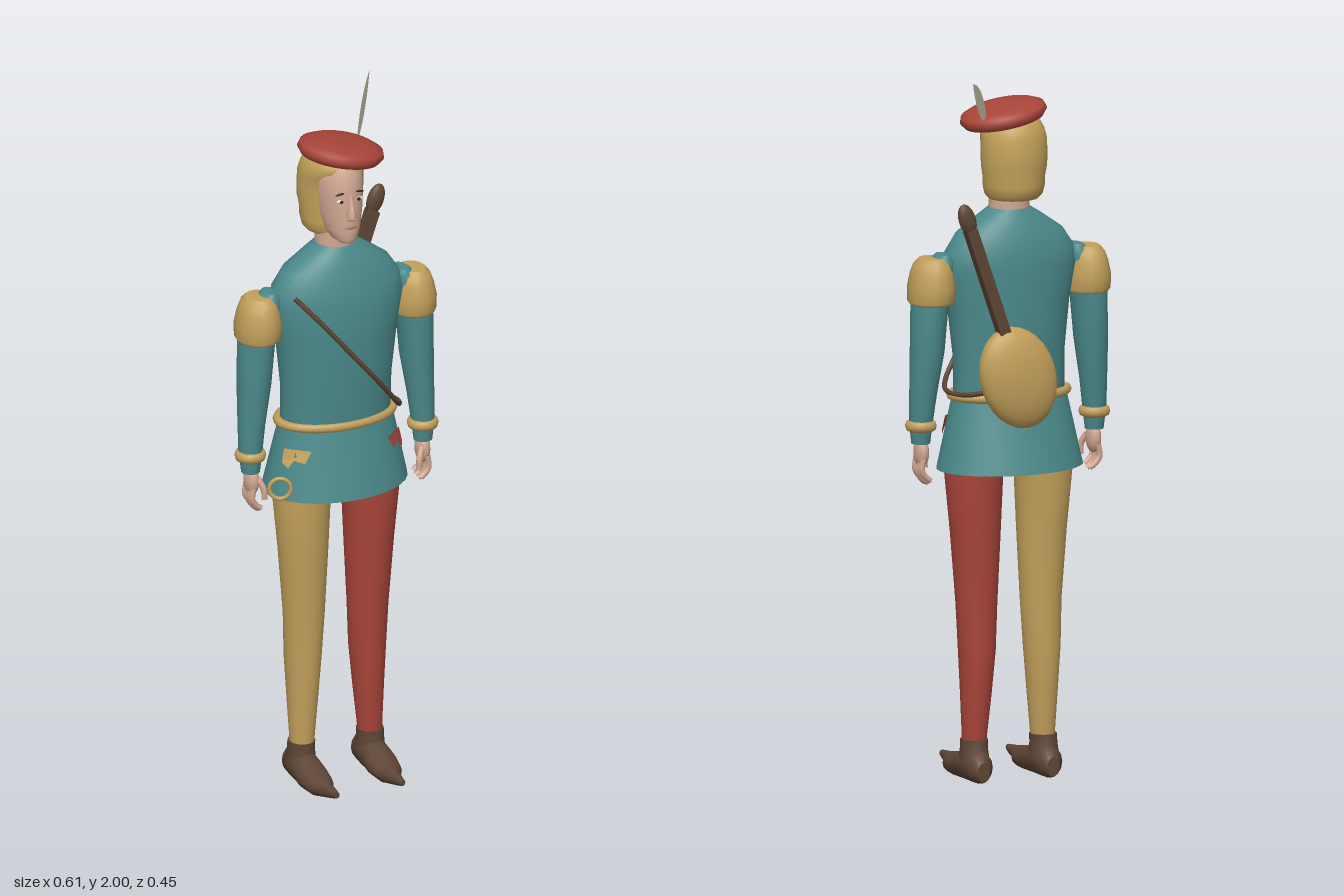
import * as THREE from 'three';

const D = THREE.DoubleSide;
const mat = (name, color, side = THREE.FrontSide) => {
  const m = new THREE.MeshStandardMaterial({ color, side });
  m.name = name;
  return m;
};

// Skin over elliptical rings [y, centreX, centreZ, radiusX, radiusZ], bottom to top
function loft(rings, n = 24, capped = true) {
  const pos = [], idx = [];
  const addRing = ([y, cx, cz, rx, rz]) => {
    const start = pos.length / 3;
    for (let j = 0; j < n; j++) {
      const a = (j / n) * Math.PI * 2;
      pos.push(cx + rx * Math.cos(a), y, cz + rz * Math.sin(a));
    }
    return start;
  };
  rings.forEach(addRing);
  for (let i = 0; i < rings.length - 1; i++) {
    for (let j = 0; j < n; j++) {
      const a = i * n + j, b = i * n + (j + 1) % n;
      idx.push(a, a + n, b, b, a + n, b + n);
    }
  }
  if (capped) {
    [rings[0], rings[rings.length - 1]].forEach((r, k) => {
      const s = addRing(r), c = pos.length / 3;
      pos.push(r[1], r[0], r[2]);
      for (let j = 0; j < n; j++) {
        const p = s + j, q = s + (j + 1) % n;
        idx.push(c, k ? q : p, k ? p : q);
      }
    });
  }
  const g = new THREE.BufferGeometry();
  g.setAttribute('position', new THREE.Float32BufferAttribute(pos, 3));
  g.setIndex(idx);
  g.computeVertexNormals();
  return g;
}

export function createModel() {
  const model = new THREE.Group();
  const teal = mat('teal cloth', 0x4b898b, D), red = mat('red cloth', 0xa9453a, D);
  const gold = mat('ochre cloth', 0xc3a05b, D), hairMat = mat('blond hair', 0xc5a25a);
  const skin = mat('skin', 0xd2a892), brown = mat('brown leather', 0x5e4536);
  const cream = mat('cream feather', 0xd6cfb4, D), dark = mat('dark eyes', 0x33261f);
  const white = mat('eye white', 0xe6dfd2), lip = mat('lips', 0xb0766a);

  const add = (name, geo, m, parent = model) => {
    const mesh = new THREE.Mesh(geo, m);
    mesh.name = name;
    parent.add(mesh);
    return mesh;
  };
  const blob = (name, m, [x, y, z], [sx, sy, sz], parent = model) => {
    const b = add(name, new THREE.SphereGeometry(1, 16, 12), m, parent);
    b.position.set(x, y, z);
    b.scale.set(sx, sy, sz);
    return b;
  };
  const tube = (name, pts, r, m, parent = model, seg = 12) => add(name,
    new THREE.TubeGeometry(new THREE.CatmullRomCurve3(pts.map(p => new THREE.Vector3(...p))), seg, r, 8), m, parent);

  // Tunic body
  add('tunicBody', loft([
    [1.06, 0, 0, 0.162, 0.1], [1.2, 0, 0.003, 0.163, 0.106], [1.35, 0, 0.006, 0.18, 0.11],
    [1.44, 0, 0.004, 0.198, 0.108], [1.49, 0, 0, 0.19, 0.1], [1.54, 0, 0, 0.157, 0.088],
    [1.58, 0, 0, 0.1, 0.07], [1.607, 0, 0, 0.058, 0.055]], 32), teal);

  // Flared skirt, open below
  const skirtRing = y => {
    const t = (1.08 - y) / 0.2;
    return [y, 0, -0.005 * t, 0.168 + 0.043 * t, 0.103 + 0.051 * t];
  };
  add('tunicSkirt', loft([0.88, 0.94, 1.0, 1.08].map(skirtRing), 32, false), teal);

  // Belt
  const belt = add('belt', new THREE.TorusGeometry(1, 0.08, 8, 40).rotateX(Math.PI / 2), gold);
  belt.scale.set(0.169, 0.16, 0.106);
  belt.position.y = 1.087;

  // Cloth patches wrapped on the skirt
  for (const s of [1, -1]) {
    const outline = [[0.9, 1.025], [0.35, 1.025], [0.35, 0.985], [0.5, 0.972], [0.6, 0.997], [0.8, 0.99]];
    const g = new THREE.ShapeGeometry(new THREE.Shape(outline.map(p => new THREE.Vector2(...p))));
    const p = g.attributes.position;
    for (let i = 0; i < p.count; i++) {
      const a = p.getX(i), y = p.getY(i), [, , cz, rx, rz] = skirtRing(y);
      p.setXYZ(i, s * (rx + 0.006) * Math.cos(a), y, cz + (rz + 0.006) * Math.sin(a));
    }
    g.computeVertexNormals();
    add('skirtPatch', g, s > 0 ? red : gold);
  }

  // Limbs, mirrored; hose differ in colour
  for (const s of [1, -1]) {
    const side = s > 0 ? 'left' : 'right';
    const m = r => r.map(([y, cx, ...rest]) => [y, s * cx, ...rest]);
    add(side + 'Leg', loft(m([
      [0.06, 0.105, 0.003, 0.032, 0.033], [0.12, 0.103, 0.004, 0.034, 0.036], [0.25, 0.1, 0, 0.043, 0.048],
      [0.37, 0.098, -0.002, 0.051, 0.058], [0.5, 0.097, 0.003, 0.058, 0.058], [0.7, 0.1, 0.004, 0.07, 0.072],
      [0.88, 0.105, 0.004, 0.082, 0.086], [1.0, 0.09, 0, 0.08, 0.085]])), s > 0 ? red : gold);

    // Pointed shoe lofted along z
    const shoe = new THREE.Group();
    shoe.name = side + 'Shoe';
    model.add(shoe);
    add('shoeFoot', loft(m([
      [-0.065, 0.105, -0.035, 0.018, 0.028], [-0.045, 0.105, -0.045, 0.036, 0.044], [0, 0.105, -0.05, 0.043, 0.05],
      [0.04, 0.105, -0.045, 0.043, 0.045], [0.08, 0.105, -0.036, 0.046, 0.036], [0.13, 0.104, -0.031, 0.038, 0.03],
      [0.17, 0.102, -0.033, 0.018, 0.021], [0.2, 0.1, -0.036, 0.013, 0.015], [0.225, 0.1, -0.039, 0.008, 0.009]]), 14)
      .rotateX(Math.PI / 2), brown, shoe);
    add('shoeCollar', loft(m([[0.05, 0.105, 0, 0.042, 0.052], [0.095, 0.105, 0.002, 0.038, 0.041],
      [0.12, 0.104, 0.003, 0.038, 0.04]]), 14), brown, shoe);

    // Sleeve, shoulder puff and cuff
    add(side + 'Sleeve', loft(m([
      [0.96, 0.262, 0.01, 0.026, 0.026], [1.02, 0.262, 0.009, 0.033, 0.034], [1.1, 0.257, 0.005, 0.038, 0.04],
      [1.22, 0.247, 0, 0.047, 0.053], [1.35, 0.24, 0, 0.051, 0.06], [1.43, 0.225, 0, 0.05, 0.055],
      [1.47, 0.205, 0, 0.036, 0.042], [1.488, 0.2, 0, 0.018, 0.03]])), teal);
    add(side + 'ShoulderPuff', loft(m([
      [1.352, 0.236, 0, 0.058, 0.066], [1.36, 0.235, 0, 0.064, 0.074], [1.4, 0.235, 0, 0.065, 0.077],
      [1.44, 0.234, 0, 0.058, 0.068], [1.465, 0.233, 0, 0.05, 0.058], [1.48, 0.233, 0, 0.036, 0.042]]), 14), gold);
    const cuff = add(side + 'Cuff', new THREE.TorusGeometry(0.032, 0.012, 8, 24).rotateX(Math.PI / 2), gold);
    cuff.scale.y = 1.3;
    cuff.position.set(s * 0.262, 1.01, 0.009);

    // Hand with curled fingers
    const hand = new THREE.Group();
    hand.name = side + 'Hand';
    model.add(hand);
    blob('palm', skin, [s * 0.26, 0.935, 0.011], [0.02, 0.043, 0.031], hand);
    for (let i = 0; i < 4; i++) {
      const z = -0.013 + i * 0.016, end = 0.846 + Math.abs(i - 1.6) * 0.007;
      tube('finger', [[s * 0.264, 0.92, z], [s * 0.268, 0.885, z], [s * 0.258, end + 0.012, z], [s * 0.243, end, z]],
        0.0085, skin, hand, 8);
    }
    tube('thumb', [[s * 0.25, 0.945, 0.03], [s * 0.237, 0.915, 0.042], [s * 0.235, 0.885, 0.043]], 0.009, skin, hand, 8);

    // Eye and brow
    blob(side + 'EyeWhite', white, [s * 0.027, 1.762, 0.095], [0.013, 0.006, 0.004]);
    blob(side + 'Pupil', dark, [s * 0.026, 1.762, 0.098], [0.006, 0.005, 0.003]);
    blob(side + 'Brow', dark, [s * 0.028, 1.784, 0.095], [0.016, 0.003, 0.004]).rotation.z = -s * 0.12;
  }

  // Small ring hanging beside the right hand
  const ring = add('hipRing', new THREE.TorusGeometry(0.03, 0.006, 8, 24), gold);
  ring.position.set(-0.2, 0.92, 0.07);
  ring.rotation.y = -0.4;

  // Neck, head and face
  add('neck', loft([[1.57, 0, 0, 0.058, 0.056], [1.7, 0, 0, 0.055, 0.055]]), skin);
  add('head', loft([
    [1.632, 0, 0.068, 0.022, 0.028], [1.642, 0, 0.055, 0.036, 0.048], [1.67, 0, 0.035, 0.05, 0.07],
    [1.72, 0, 0.02, 0.062, 0.084], [1.78, 0, 0.012, 0.067, 0.09], [1.83, 0, 0.006, 0.066, 0.092],
    [1.87, 0, 0, 0.05, 0.075]], 28), skin);
  add('nose', loft([[1.706, 0, 0.105, 0.011, 0.012], [1.716, 0, 0.108, 0.016, 0.021],
    [1.74, 0, 0.102, 0.009, 0.016], [1.778, 0, 0.095, 0.006, 0.009]], 10), skin);
  blob('mouth', lip, [0, 1.682, 0.102], [0.018, 0.005, 0.005]);

  // Bobbed hair behind the face
  add('hair', loft([
    [1.637, 0, -0.03, 0.07, 0.068], [1.65, 0, -0.03, 0.081, 0.08], [1.675, 0, -0.032, 0.086, 0.086],
    [1.7, 0, -0.032, 0.087, 0.084], [1.73, 0, -0.034, 0.092, 0.088], [1.77, 0, -0.034, 0.093, 0.089],
    [1.81, 0, -0.03, 0.092, 0.09], [1.835, 0, -0.015, 0.088, 0.1], [1.86, 0, -0.01, 0.075, 0.09],
    [1.88, 0, -0.01, 0.05, 0.06]], 28), hairMat);

  // Tilted flat cap and feather
  const capProfile = [[0, -0.022], [0.085, -0.024], [0.112, -0.019], [0.123, -0.004], [0.118, 0.012], [0.095, 0.023],
    [0.05, 0.028], [0, 0.029]].map(p => new THREE.Vector2(...p));
  const cap = add('cap', new THREE.LatheGeometry(capProfile, 40), red);
  cap.position.set(0.021, 1.869, -0.008);
  cap.scale.z = 0.93;
  cap.rotation.z = -0.19;
  const plume = new THREE.Shape();
  plume.moveTo(0, -0.012);
  plume.quadraticCurveTo(0.055, 0.1, 0.186, 0.125);
  plume.quadraticCurveTo(0.13, 0.015, 0.025, -0.012);
  const feather = add('feather', new THREE.ShapeGeometry(plume, 12), cream);
  feather.position.set(0.088, 1.875, -0.048);
  feather.rotation.y = 0.938;

  // Shoulder strap
  tube('strap', [[-0.17, 1.5, 0.1], [-0.1, 1.42, 0.13], [0, 1.3, 0.143], [0.08, 1.205, 0.132], [0.15, 1.12, 0.09],
    [0.178, 1.098, 0.02], [0.155, 1.1, -0.065], [0.1, 1.12, -0.135]], 0.007, brown, model, 48);

  // Lute slung on the back
  const lute = new THREE.Group();
  lute.name = 'lute';
  lute.position.set(0.05, 1.16, -0.175);
  lute.rotation.z = -0.33;
  model.add(lute);
  const bowl = add('luteBowl', new THREE.SphereGeometry(1, 28, 10, 0, Math.PI * 2, 0, Math.PI / 2)
    .rotateX(-Math.PI / 2).scale(0.11, 0.147, 0.05), gold, lute);
  bowl.position.z = 0;
  const board = add('luteSoundboard', new THREE.CylinderGeometry(1, 1, 0.012, 28).rotateX(Math.PI / 2)
    .scale(0.11, 0.147, 1), gold, lute);
  board.position.z = 0.004;
  const neck = add('luteNeck', new THREE.BoxGeometry(0.032, 0.33, 0.034), brown, lute);
  neck.position.y = 0.285;
  blob('luteHead', brown, [0, 0.482, -0.003], [0.025, 0.046, 0.016], lute);

  return model;
}
